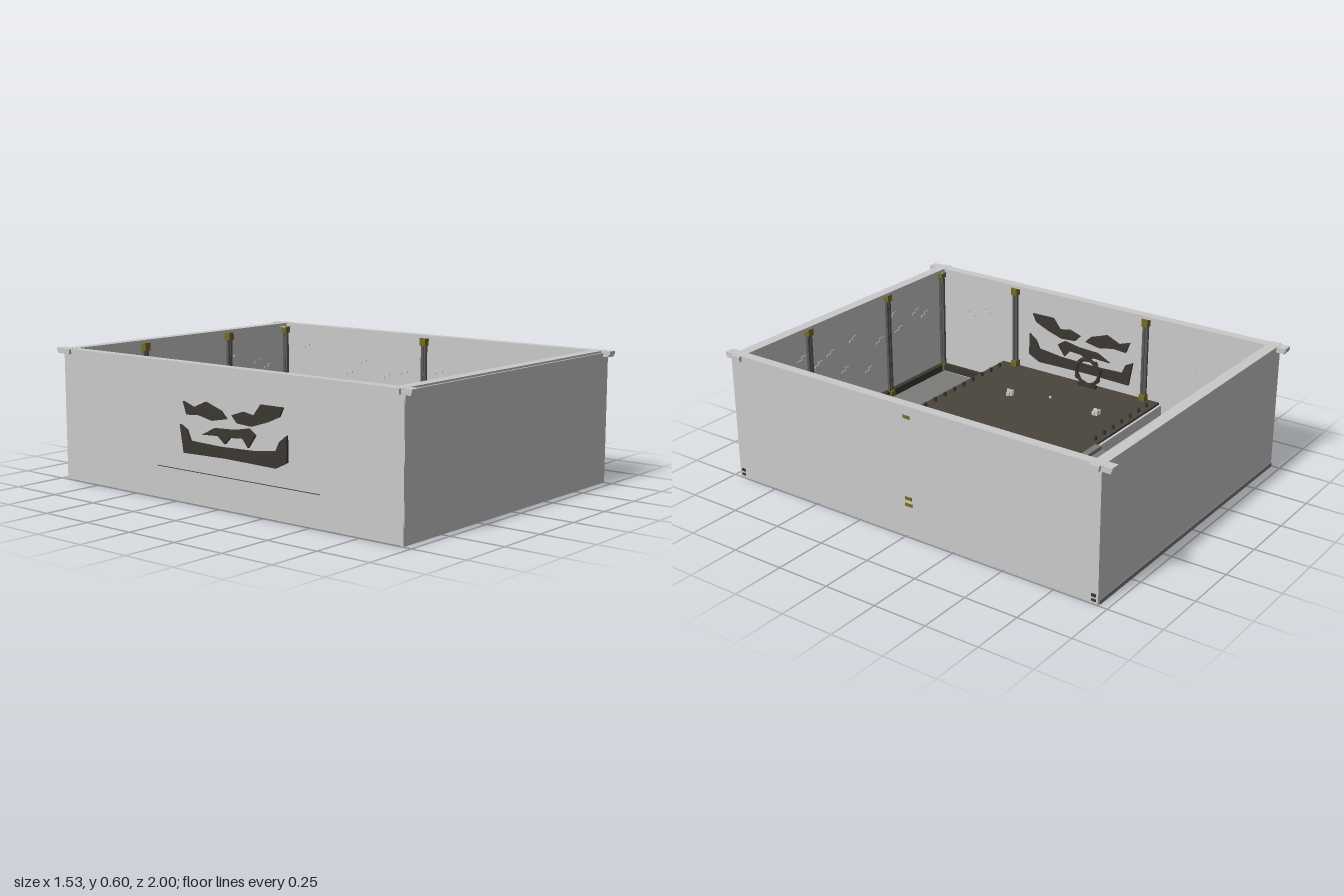
import * as THREE from 'three';

const mat = (name, color, side = THREE.FrontSide) => {
  const m = new THREE.MeshStandardMaterial({ color, side });
  m.name = name;
  return m;
};

export function createModel() {
  const wallGrey = mat('wall grey', 0xcacaca);
  const floorGrey = mat('floor grey', 0x7c7c7a);
  const deckBrown = mat('deck brown', 0x4a443c);
  const darkIron = mat('dark iron', 0x3b3833);
  const postGrey = mat('post grey', 0x5a5a56);
  const brass = mat('brass', 0x746a22);
  const model = new THREE.Group();
  model.name = 'walledYard';

  // Box given by its lower and upper limits on each axis
  const box = (name, m, x0, x1, y0, y1, z0, z1, parent = model) => {
    const mesh = new THREE.Mesh(new THREE.BoxGeometry(x1 - x0, y1 - y0, z1 - z0), m);
    mesh.position.set((x0 + x1) / 2, (y0 + y1) / 2, (z0 + z1) / 2);
    mesh.name = name;
    parent.add(mesh);
    return mesh;
  };
  const group = (name) => {
    const g = new THREE.Group();
    g.name = name;
    model.add(g);
    return g;
  };
  const shapeOf = (pts) => new THREE.Shape(pts.map(([x, y]) => new THREE.Vector2(x, y)));

  // Floor and outer walls
  const FLOOR = 0.02, DECK = 0.17;
  box('floor', floorGrey, -0.745, 0.74, 0, FLOOR, -0.96, 0.96);
  box('leftWall', wallGrey, 0.73, 0.745, 0.004, 0.595, -0.95, 0.965);
  box('rightWall', wallGrey, -0.752, -0.737, 0.004, 0.595, -0.95, 0.965);
  box('frontWall', wallGrey, -0.75, 0.745, 0.002, 0.595, 0.95, 0.966);
  box('backWall', wallGrey, -0.75, 0.745, 0.008, 0.595, -0.955, -0.94);

  // Top beams, crossing at the corners with thicker ends
  const beams = group('topBeams');
  for (const [x0, x1] of [[-0.755, -0.708], [0.7, 0.745]]) {
    box('sideBeam', wallGrey, x0, x1, 0.588, 0.603, -1, 1, beams);
    for (const s of [-1, 1]) {
      const a = s * 0.935, b = s * 0.995;
      box('beamEnd', wallGrey, x0, x1, 0.578, 0.6, Math.min(a, b), Math.max(a, b), beams);
      box('cornerBlock', wallGrey, x0 - 0.012, x1 + 0.014, 0.58, 0.602,
        s > 0 ? 0.905 : -0.95, s > 0 ? 0.95 : -0.905, beams);
    }
  }
  box('frontBeam', wallGrey, -0.755, 0.745, 0.588, 0.6035, 0.905, 0.957, beams);
  box('backBeam', wallGrey, -0.755, 0.745, 0.588, 0.6035, -0.957, -0.905, beams);

  // Raised deck with a corner cut out for the stairs, on a pale retaining wall
  const slab = (name, m, grow, y0, y1) => {
    const g = grow;
    const geo = new THREE.ExtrudeGeometry(shapeOf([
      [-0.737, -0.36 - g], [0.73, -0.36 - g], [0.73, 0.3 + g],
      [0.36 + g * 0.5, 0.3 + g], [0.36 + g * 0.5, 0.555 + g], [-0.737, 0.555 + g],
    ]), { depth: y1 - y0, bevelEnabled: false });
    const mesh = new THREE.Mesh(geo, m);
    mesh.rotation.x = Math.PI / 2;
    mesh.position.y = y1;
    mesh.name = name;
    model.add(mesh);
  };
  slab('retainingWall', wallGrey, 0.012, FLOOR, 0.16);
  slab('deck', deckBrown, 0, 0.14, DECK);
  box('deckEdgeStrip', deckBrown, -0.754, -0.74, 0.142, 0.145, -0.36, 0.555);

  // Stairs: solid steps running down from the deck
  const stairs = (name, x0, x1, zTop, zEnd, count) => {
    const g = group(name);
    const run = (zEnd - zTop) / count, rise = (DECK - FLOOR) / count;
    for (let i = 0; i < count; i++) {
      const a = zTop + i * run, b = a + run;
      box('step', floorGrey, x0, x1, FLOOR, DECK + 0.002 - i * rise, Math.min(a, b), Math.max(a, b), g);
    }
  };
  stairs('backStairs', -0.17, 0.185, -0.36, -0.615, 8);
  stairs('frontStairs', 0.36, 0.73, 0.3, 0.59, 8);

  // Low studs along the deck edges
  const studs = group('edgeStuds');
  const stud = (x, z) => box('stud', darkIron, x - 0.006, x + 0.006, DECK, DECK + 0.02, z - 0.005, z + 0.005, studs);
  for (let x = -0.66; x < 0.7; x += 0.0755) {
    if (x < -0.18 || x > 0.2) stud(x, -0.335);
    if (x < 0.34) stud(x, 0.525);
  }
  for (const z of [0.33, 0.38, 0.43, 0.48]) stud(0.333, z);

  // Skirting in the lower areas
  const skirting = group('skirting');
  for (const s of [-1, 1]) {
    const z0 = s > 0 ? 0.925 : -0.94, z1 = s > 0 ? 0.95 : -0.925;
    box('endSkirting', darkIron, -0.735, 0.73, 0.035, 0.07, z0, z1, skirting);
    for (const [x0, x1] of [[-0.737, -0.715], [0.71, 0.73]]) {
      box('sideSkirting', darkIron, x0, x1, 0.035, 0.07, s > 0 ? 0.57 : -0.94, s > 0 ? 0.95 : -0.375, skirting);
    }
  }

  // Wall posts with brass caps and feet
  const post = (x, z, base) => {
    const g = group('wallPost');
    const r = 0.011, c = 0.016;
    for (const s of [-1, 1]) {
      const dx = Math.abs(x) > 0.6 ? 0 : s * 0.008, dz = Math.abs(x) > 0.6 ? s * 0.008 : 0;
      box('shaft', postGrey, x + dx - r * 0.6, x + dx + r * 0.6, base, 0.585, z + dz - r * 0.6, z + dz + r * 0.6, g);
    }
    box('foot', brass, x - c, x + c, base, base + 0.03, z - c, z + c, g);
    box('cap', brass, x - c, x + c, 0.55, 0.588, z - c, z + c, g);
  };
  for (const z of [-0.922, 0.932]) {
    for (const x of [-0.718, -0.285, 0.285, 0.712]) post(x, z, 0.04);
  }
  post(-0.72, -0.28, DECK);
  post(-0.72, 0.47, DECK);
  post(0.714, -0.025, DECK);

  // Brass plates and corner brackets on the outside of the left wall
  for (const y of [0.152, 0.182, 0.555]) {
    box('brassPlate', brass, 0.742, 0.748, y - 0.007, y + 0.007, -0.038, -0.002);
  }
  for (const z of [-0.935, 0.945]) {
    box('cornerBracket', darkIron, 0.742, 0.749, 0.012, 0.022, z - 0.01, z + 0.01);
    box('cornerBracket', darkIron, 0.742, 0.749, 0.032, 0.045, z - 0.01, z + 0.01);
  }

  // Ring gates, one in the middle of each wall
  const gate = (x, y, z, turn) => {
    const g = group('ringGate');
    const ring = new THREE.Mesh(new THREE.TorusGeometry(0.065, 0.009, 6, 20), darkIron);
    ring.name = 'ring';
    g.add(ring);
    for (let i = 0; i < 9; i++) {
      const a = (i / 9) * Math.PI * 2 + Math.PI / 2;
      const block = box('ringBlock', darkIron, -0.008, 0.008, -0.009, 0.009, -0.01, 0.01, g);
      block.position.set(Math.cos(a) * 0.067, Math.sin(a) * 0.067, 0);
      block.rotation.z = a;
    }
    box('ringBase', darkIron, -0.05, 0.05, -0.077, -0.062, -0.01, 0.01, g);
    g.position.set(x, y, z);
    g.rotation.y = turn;
  };
  gate(0.02, 0.115, -0.895, 0);
  gate(0.02, 0.115, 0.905, 0);
  gate(-0.7, 0.248, 0.025, Math.PI / 2);
  gate(0.68, 0.248, 0.025, Math.PI / 2);

  // Cut-out relief passing through the right wall, drawn as (z, y) outlines
  const relief = group('wallRelief');
  const reliefPieces = [
    [[-0.21, 0.34], [-0.17, 0.32], [-0.15, 0.275], [0.02, 0.27], [0.2, 0.275], [0.33, 0.29],
      [0.35, 0.33], [0.39, 0.36], [0.39, 0.25], [0.33, 0.22], [0.05, 0.225], [-0.19, 0.22]],
    [[-0.19, 0.44], [-0.13, 0.42], [-0.06, 0.45], [0.03, 0.42], [0.06, 0.39], [-0.02, 0.375],
      [-0.1, 0.39], [-0.17, 0.385]],
    [[0.09, 0.41], [0.15, 0.43], [0.21, 0.42], [0.25, 0.47], [0.37, 0.47], [0.35, 0.43],
      [0.28, 0.4], [0.2, 0.375], [0.12, 0.38]],
    [[-0.08, 0.31], [-0.01, 0.345], [0.1, 0.35], [0.18, 0.365], [0.22, 0.34], [0.18, 0.285],
      [0.15, 0.32], [0.08, 0.315], [0.05, 0.285], [0.01, 0.315]],
  ];
  for (const pts of reliefPieces) {
    const geo = new THREE.ExtrudeGeometry(shapeOf(pts), { depth: 0.036, bevelEnabled: false });
    const mesh = new THREE.Mesh(geo, darkIron);
    mesh.name = 'reliefPiece';
    mesh.rotation.y = -Math.PI / 2;
    mesh.position.x = -0.727;
    relief.add(mesh);
  }

  // Small raised bricks scattered over the inner walls
  const bricks = group('wallBricks');
  let seed = 7;
  const rand = () => (seed = (seed * 16807) % 2147483647) / 2147483647;
  for (let i = 0; i < 14; i++) {
    const u = -0.64 + (i + rand() * 0.6) * 0.09, y = 0.2 + rand() * 0.3;
    for (const [du, dy] of [[0, 0], [0.025, 0.014]]) {
      const a = u + du, b = y + dy;
      box('brick', wallGrey, a, a + 0.03, b, b + 0.01, -0.941, -0.936, bricks);
      box('brick', wallGrey, -a - 0.03, -a, b, b + 0.01, 0.946, 0.951, bricks);
      box('brick', wallGrey, 0.726, 0.731, b, b + 0.01, a * 1.3, a * 1.3 + 0.03, bricks);
      if (Math.abs(a) > 0.4) box('brick', wallGrey, -0.738, -0.733, b, b + 0.01, a * 1.3, a * 1.3 + 0.03, bricks);
    }
  }

  // Pale crates and rubble on the deck
  const rubble = (x, z, turn) => {
    const g = group('rubble');
    for (const [dx, dz, h] of [[-0.009, -0.008, 0.02], [0.01, -0.006, 0.026], [-0.006, 0.01, 0.024], [0.01, 0.011, 0.016]]) {
      box('block', wallGrey, dx - 0.008, dx + 0.008, 0, h, dz - 0.007, dz + 0.007, g);
    }
    g.position.set(x, DECK, z);
    g.rotation.y = turn;
  };
  rubble(-0.45, -0.187, 0.1);
  rubble(0.603, -0.197, 0.7);
  rubble(-0.405, 0.278, 0.5);
  box('pebble', wallGrey, -0.485, -0.477, DECK, DECK + 0.01, 0.09, 0.1);
  for (const x of [0.268, 0.299]) {
    for (const z of [0.48, 0.5]) box('crate', wallGrey, x - 0.014, x + 0.014, DECK, DECK + 0.025, z - 0.008, z + 0.008);
  }
  return model;
}
